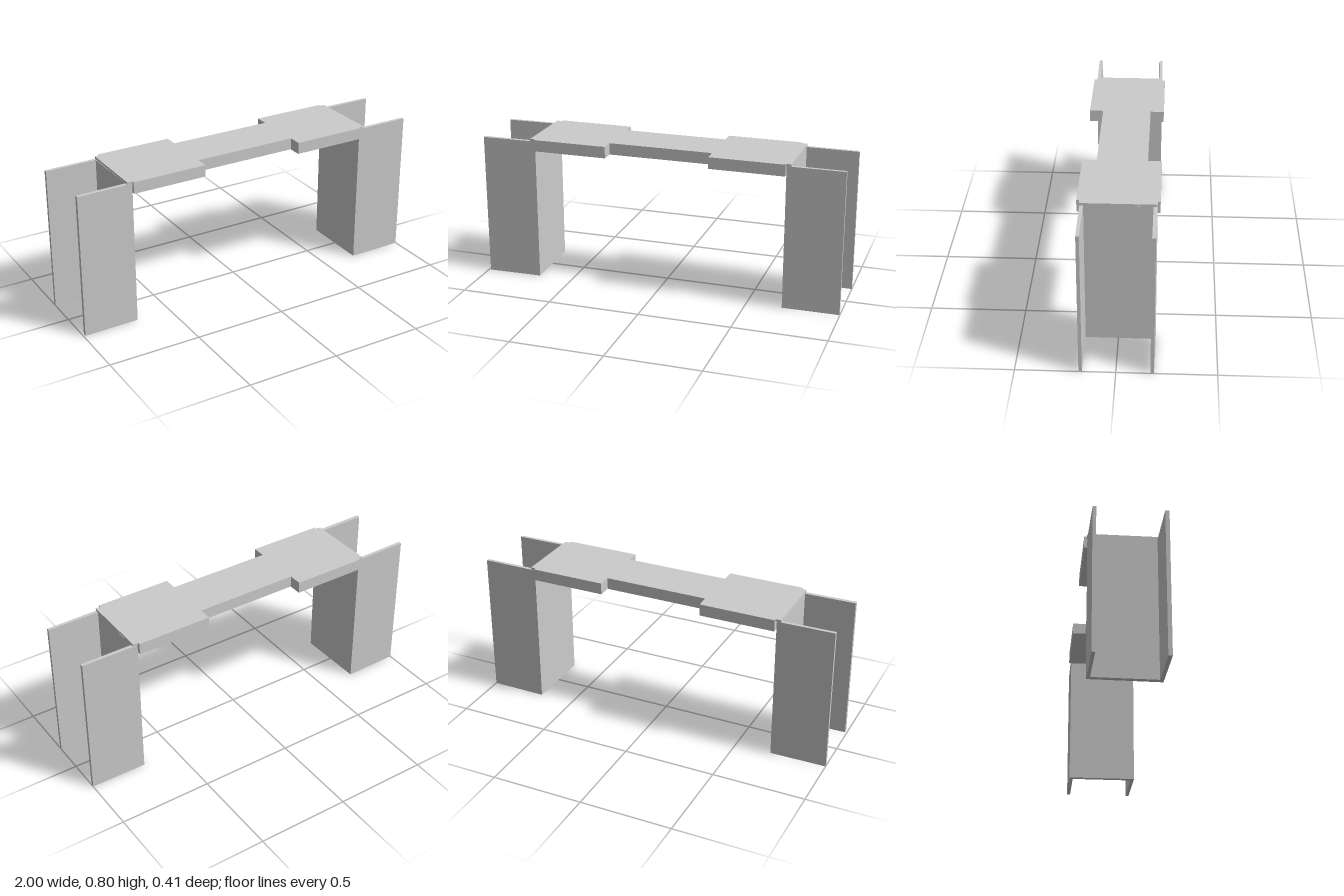
import * as THREE from 'three';

const material = new THREE.MeshStandardMaterial({ color: 0xcccccc, flatShading: true });

// Extrude a plan outline of [x, z] points upward from y0 to y1
function prism(name, plan, y0, y1) {
  const shape = new THREE.Shape(plan.map(([x, z]) => new THREE.Vector2(x, -z)));
  const geometry = new THREE.ExtrudeGeometry(shape, { depth: y1 - y0, bevelEnabled: false });
  geometry.rotateX(-Math.PI / 2).translate(0, y0, 0);
  const mesh = new THREE.Mesh(geometry, material);
  mesh.name = name;
  return mesh;
}

export function createModel() {
  const group = new THREE.Group();
  group.name = 'bridgeFrame';

  // Deck: wide end plates joined by a narrower waist
  const quarter = [[0.69, 0.203], [0.283, 0.203], [0.283, 0.13]];
  const front = [...quarter, ...quarter.map(([x, z]) => [-x, z]).reverse()];
  const deck = [...front, ...front.map(([x, z]) => [x, -z]).reverse()];
  group.add(prism('deck', deck, 0.732, 0.795));

  // Thin lips of the deck resting on the leg webs
  for (const s of [-1, 1]) {
    group.add(prism(s > 0 ? 'leftLip' : 'rightLip',
      [[s * 0.69, 0.19], [s * 0.718, 0.188], [s * 0.718, -0.188], [s * 0.69, -0.19]], 0.782, 0.795));
  }

  // Legs: upright U channels opening outward, very slightly askew
  group.add(prism('leftLeg', [
    [0.692, 0.187], [0.998, 0.184], [0.998, 0.167], [0.717, 0.168],
    [0.719, -0.17], [1, -0.17], [1, -0.188], [0.694, -0.19],
  ], 0, 0.782));
  group.add(prism('rightLeg', [
    [-0.69, 0.187], [-0.99, 0.193], [-0.99, 0.172], [-0.718, 0.167],
    [-0.722, -0.17], [-1, -0.165], [-1, -0.183], [-0.696, -0.188],
  ], 0, 0.782));

  return group;
}
